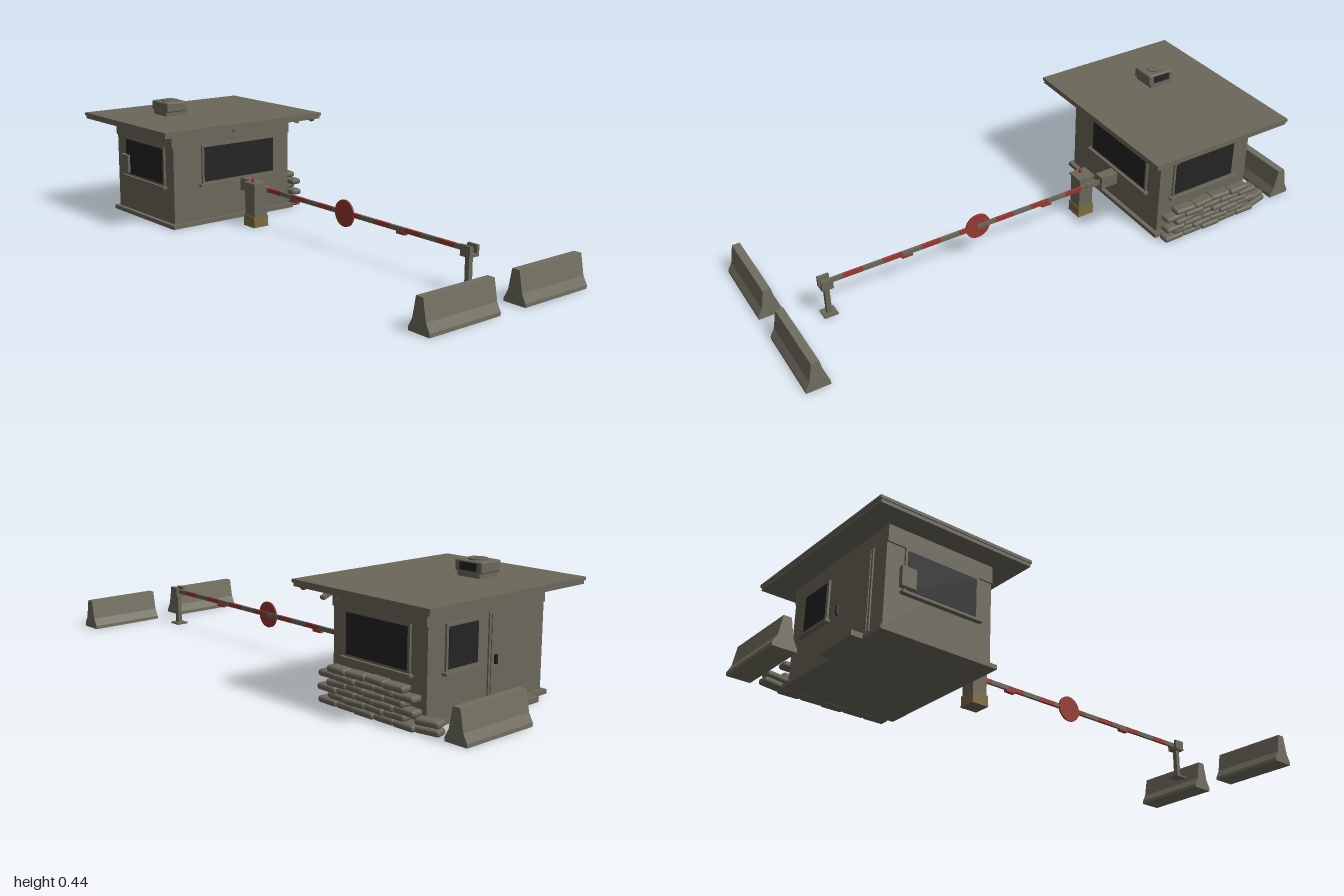
import * as THREE from 'three';
import { RoundedBoxGeometry } from 'three/addons/geometries/RoundedBoxGeometry.js';

const paint = (name, color) => {
  const m = new THREE.MeshStandardMaterial({ color });
  m.name = name;
  return m;
};

export function createModel() {
  const olive = paint('olive grey', 0x6b685a);
  const concrete = paint('concrete', 0x716e60);
  const glass = paint('dark glass', 0x242424);
  const red = paint('warning red', 0x963a32);
  const yellow = paint('dull yellow', 0x7c6c40);

  const model = new THREE.Group();
  model.name = 'checkpoint';

  const group = (name, parent = model) => {
    const g = new THREE.Group();
    g.name = name;
    parent.add(g);
    return g;
  };
  const add = (parent, name, geo, mat, x = 0, y = 0, z = 0) => {
    const m = new THREE.Mesh(geo, mat);
    m.name = name;
    m.position.set(x, y, z);
    parent.add(m);
    return m;
  };
  // Box given by its extents along each axis
  const box = (parent, name, [x0, x1], [y0, y1], [z0, z1], mat = olive) =>
    add(parent, name, new THREE.BoxGeometry(x1 - x0, y1 - y0, z1 - z0), mat,
      (x0 + x1) / 2, (y0 + y1) / 2, (z0 + z1) / 2);

  // Guard booth shell
  const booth = group('booth');
  box(booth, 'plinth', [-0.82, -0.388], [0, 0.015], [-0.283, 0.283]);
  box(booth, 'walls', [-0.805, -0.404], [0.015, 0.364], [-0.267, 0.267]);
  for (const s of [-1, 1]) {
    box(booth, 'headerBand', [-0.805, -0.404], [0.303, 0.363], s < 0 ? [-0.273, -0.266] : [0.266, 0.273]);
  }
  box(booth, 'roofUnderside', [-0.891, -0.314], [0.362, 0.374], [-0.356, 0.356]);
  box(booth, 'roofSlab', [-0.895, -0.31], [0.374, 0.385], [-0.36, 0.36]);

  // Window built facing +z, then turned onto its wall
  const addWindow = (name, x, z, turn, w, y0, y1) => {
    const g = group(name, booth);
    g.position.set(x, 0, z);
    g.rotation.y = turn;
    const h = w / 2;
    box(g, 'frame', [-h - 0.009, h + 0.009], [y0 - 0.008, y1 + 0.009], [-0.002, 0.007]);
    box(g, 'pane', [-h, h], [y0, y1], [0.004, 0.009], glass);
    box(g, 'sill', [-h - 0.02, h + 0.02], [y0 - 0.017, y0 - 0.008], [-0.002, 0.018]);
  };
  addWindow('frontWindow', -0.6, 0.267, 0, 0.262, 0.16, 0.294);
  addWindow('backWindow', -0.6, -0.267, Math.PI, 0.262, 0.16, 0.294);
  addWindow('gateWindow', -0.404, -0.026, Math.PI / 2, 0.322, 0.162, 0.293);
  addWindow('doorSideWindow', -0.805, -0.12, -Math.PI / 2, 0.13, 0.165, 0.293);

  // Door and step
  const door = group('door', booth);
  box(door, 'doorFrame', [-0.81, -0.803], [0.015, 0.31], [0.0, 0.2]);
  box(door, 'doorLeaf', [-0.813, -0.806], [0.02, 0.302], [0.009, 0.191]);
  box(door, 'doorHandle', [-0.822, -0.812], [0.145, 0.175], [0.022, 0.03], glass);
  box(door, 'doorStep', [-0.86, -0.818], [0, 0.018], [0.01, 0.19]);

  // Rooftop air conditioner
  const ac = group('airConditioner', booth);
  box(ac, 'acBase', [-0.7, -0.61], [0.384, 0.4], [0.075, 0.163]);
  add(ac, 'acBody', new RoundedBoxGeometry(0.112, 0.038, 0.092, 2, 0.005), olive, -0.655, 0.419, 0.119);
  add(ac, 'fanRing', new THREE.CylinderGeometry(0.032, 0.032, 0.005, 24), olive, -0.655, 0.44, 0.119);
  add(ac, 'fanHub', new THREE.CylinderGeometry(0.01, 0.01, 0.003, 16), olive, -0.655, 0.443, 0.119);
  box(ac, 'sideGrille', [-0.69, -0.62], [0.406, 0.432], [0.071, 0.074], glass);

  // Wall box, eave lights and security camera
  add(booth, 'electricalBox', new RoundedBoxGeometry(0.054, 0.07, 0.018, 1, 0.002), olive, -0.73, 0.198, 0.277);
  box(booth, 'eaveLightBase', [-0.36, -0.33], [0.355, 0.363], [-0.044, 0.044]);
  box(booth, 'eaveLightLens', [-0.355, -0.335], [0.349, 0.356], [-0.036, 0.036]);
  add(booth, 'cornerLamp', new THREE.CylinderGeometry(0.014, 0.008, 0.011, 16), olive, -0.335, 0.357, -0.333);
  const cam = group('securityCamera', booth);
  box(cam, 'cameraPlate', [-0.43, -0.41], [0.325, 0.358], [-0.276, -0.266]);
  box(cam, 'cameraArm', [-0.423, -0.417], [0.348, 0.353], [-0.308, -0.27]);
  add(cam, 'cameraBody', new THREE.BoxGeometry(0.018, 0.012, 0.034), olive, -0.42, 0.343, -0.315).rotation.x = -0.35;

  // Sandbag wall behind the booth, rows staggered like brickwork
  const bags = group('sandbags');
  const bagGeo = new RoundedBoxGeometry(0.084, 0.022, 0.043, 2, 0.009);
  for (let row = 0; row < 6; row++) {
    const odd = row % 2;
    for (let i = 0; i < 5 - odd; i++) {
      const bag = add(bags, 'sandbag', bagGeo, olive,
        -0.77 + i * 0.082 + odd * 0.041, 0.011 + row * 0.0216, -0.312 + 0.003 * Math.sin(i * 2.3 + row));
      bag.rotation.y = 0.06 * Math.sin(i * 3.1 + row * 1.7);
    }
  }
  for (const [x, y, z] of [[-0.846, 0.011, -0.295], [-0.84, 0.033, -0.29]]) {
    add(bags, 'looseSandbag', bagGeo, olive, x, y, z).rotation.y = 0.2;
  }

  // Gate motor cabinet
  const gate = group('gate');
  box(gate, 'cabinet', [-0.284, -0.226], [0, 0.163], [-0.027, 0.03]);
  box(gate, 'cabinetCap', [-0.289, -0.221], [0.16, 0.167], [-0.031, 0.034]);
  box(gate, 'yellowBand', [-0.287, -0.223], [0.006, 0.04], [-0.03, 0.034], yellow);
  box(gate, 'cabinetFoot', [-0.288, -0.222], [0, 0.007], [-0.031, 0.035], yellow);
  add(gate, 'beacon', new THREE.CylinderGeometry(0.005, 0.006, 0.016, 16), red, -0.255, 0.174, 0.014);
  const pivot = add(gate, 'pivot', new THREE.CylinderGeometry(0.014, 0.014, 0.026, 16), olive, -0.255, 0.135, -0.036);
  pivot.rotation.x = Math.PI / 2;

  // Striped boom with counterweight, disc and reflectors
  box(gate, 'counterweight', [-0.375, -0.305], [0.113, 0.16], [-0.055, -0.015]);
  box(gate, 'boomTail', [-0.31, -0.226], [0.126, 0.144], [-0.043, -0.033]);
  const stripes = 14, start = -0.226, step = (0.8 - start) / stripes;
  for (let i = 0; i < stripes; i++) {
    box(gate, 'boomStripe', [start + i * step, start + (i + 1) * step], [0.127, 0.143], [-0.043, -0.033],
      i % 2 ? olive : red);
  }
  const disc = add(gate, 'stopDisc', new THREE.CylinderGeometry(0.048, 0.048, 0.006, 32), red, 0.21, 0.134, -0.034);
  disc.rotation.x = Math.PI / 2;
  for (const x of [-0.07, 0.49]) {
    box(gate, 'reflector', [x - 0.02, x + 0.02], [0.119, 0.128], [-0.045, -0.031], red);
  }

  // Receiving post with fork
  const post = group('receivingPost');
  box(post, 'postFoot', [0.762, 0.812], [0, 0.006], [-0.058, -0.012]);
  box(post, 'postShaft', [0.779, 0.796], [0, 0.118], [-0.045, -0.028]);
  box(post, 'forkBase', [0.768, 0.809], [0.115, 0.125], [-0.058, -0.016]);
  box(post, 'forkNear', [0.768, 0.809], [0.12, 0.152], [-0.026, -0.016]);
  box(post, 'forkFar', [0.768, 0.809], [0.12, 0.152], [-0.058, -0.048]);

  // Concrete road barriers, one profile extruded along z
  const half = [[0.042, 0], [0.042, 0.012], [0.027, 0.04], [0.014, 0.11]];
  const outline = [...half, ...half.map(([x, y]) => [-x, y]).reverse()];
  const profile = new THREE.Shape(outline.map(([x, y]) => new THREE.Vector2(x, y)));
  const barrierGeo = new THREE.ExtrudeGeometry(profile, { depth: 0.291, bevelEnabled: false });
  for (const [x, z] of [[0.958, 0.054], [0.958, -0.346], [-0.958, -0.311]]) {
    add(model, 'roadBarrier', barrierGeo, concrete, x, 0, z);
  }

  return model;
}
